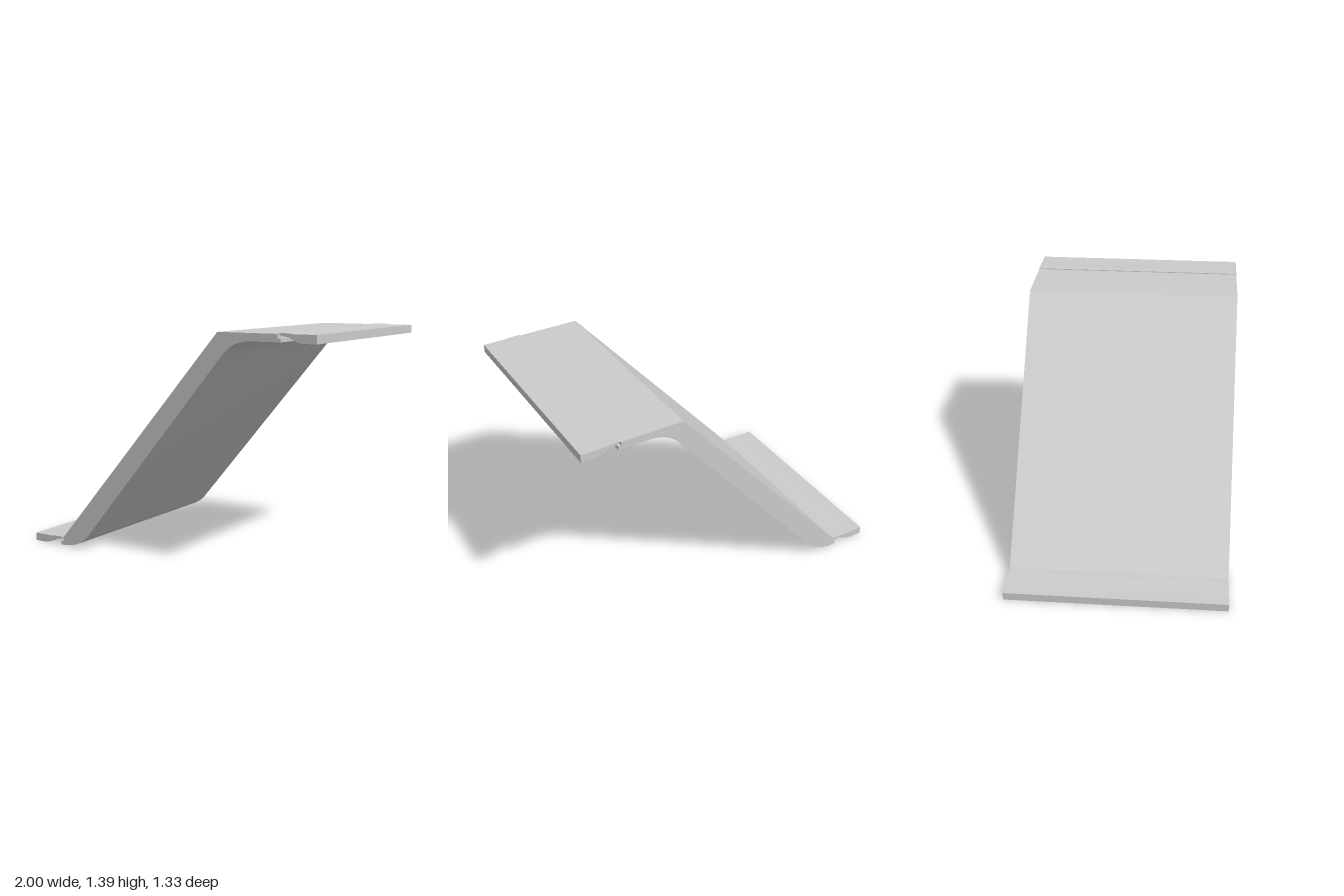
import * as THREE from 'three';
import { toCreasedNormals } from 'three/addons/utils/BufferGeometryUtils.js';

const DEPTH = 1.33;

// Extrude a side profile across the full width, smooth on curves and sharp at corners
function extrudeProfile(shape, name) {
  const geometry = new THREE.ExtrudeGeometry(shape, { depth: DEPTH, bevelEnabled: false, curveSegments: 16 });
  geometry.translate(0, 0, -DEPTH / 2);
  const material = new THREE.MeshStandardMaterial({ color: 0xcccccc });
  const mesh = new THREE.Mesh(toCreasedNormals(geometry, 0.45), material);
  mesh.name = name;
  return mesh;
}

// Sloped panel with a flat upper landing, rounded undersides and a notched lip at each end
function rampShape() {
  const s = new THREE.Shape();
  s.moveTo(-0.77, 0.05);
  s.lineTo(-0.77, 0.026);
  s.lineTo(-0.786, 0.03);
  s.lineTo(-0.786, 0.003);
  s.lineTo(-0.76, 0.003);
  s.bezierCurveTo(-0.68, 0.006, -0.62, 0.03, -0.565, 0.09);
  s.lineTo(0.41, 1.245);
  s.bezierCurveTo(0.46, 1.31, 0.52, 1.337, 0.6, 1.34);
  s.lineTo(0.785, 1.34);
  s.lineTo(0.785, 1.362);
  s.lineTo(0.767, 1.362);
  s.lineTo(0.767, 1.385);
  s.lineTo(0.39, 1.385);
  s.closePath();
  return s;
}

// Hinged flap: dir +1 reaches towards +x, -1 towards -x; y is its underside level
function flapShape(dir, y) {
  const s = new THREE.Shape();
  s.moveTo(dir, y);
  s.lineTo(dir, y + 0.049);
  s.lineTo(dir * 0.86, y + 0.049);
  s.quadraticCurveTo(dir * 0.82, y + 0.055, dir * 0.767, y + 0.053);
  s.lineTo(dir * 0.767, y + 0.049);
  s.lineTo(dir * 0.787, y + 0.049);
  s.lineTo(dir * 0.787, y + 0.037);
  s.bezierCurveTo(dir * 0.85, y + 0.04, dir * 0.865, y + 0.003, dir * 0.92, y);
  s.closePath();
  return s;
}

export function createModel() {
  const group = new THREE.Group();
  group.name = 'slopedConnector';
  group.add(
    extrudeProfile(rampShape(), 'ramp'),
    extrudeProfile(flapShape(-1, 0), 'lowerFlap'),
    extrudeProfile(flapShape(1, 1.337), 'upperFlap'),
  );
  return group;
}
